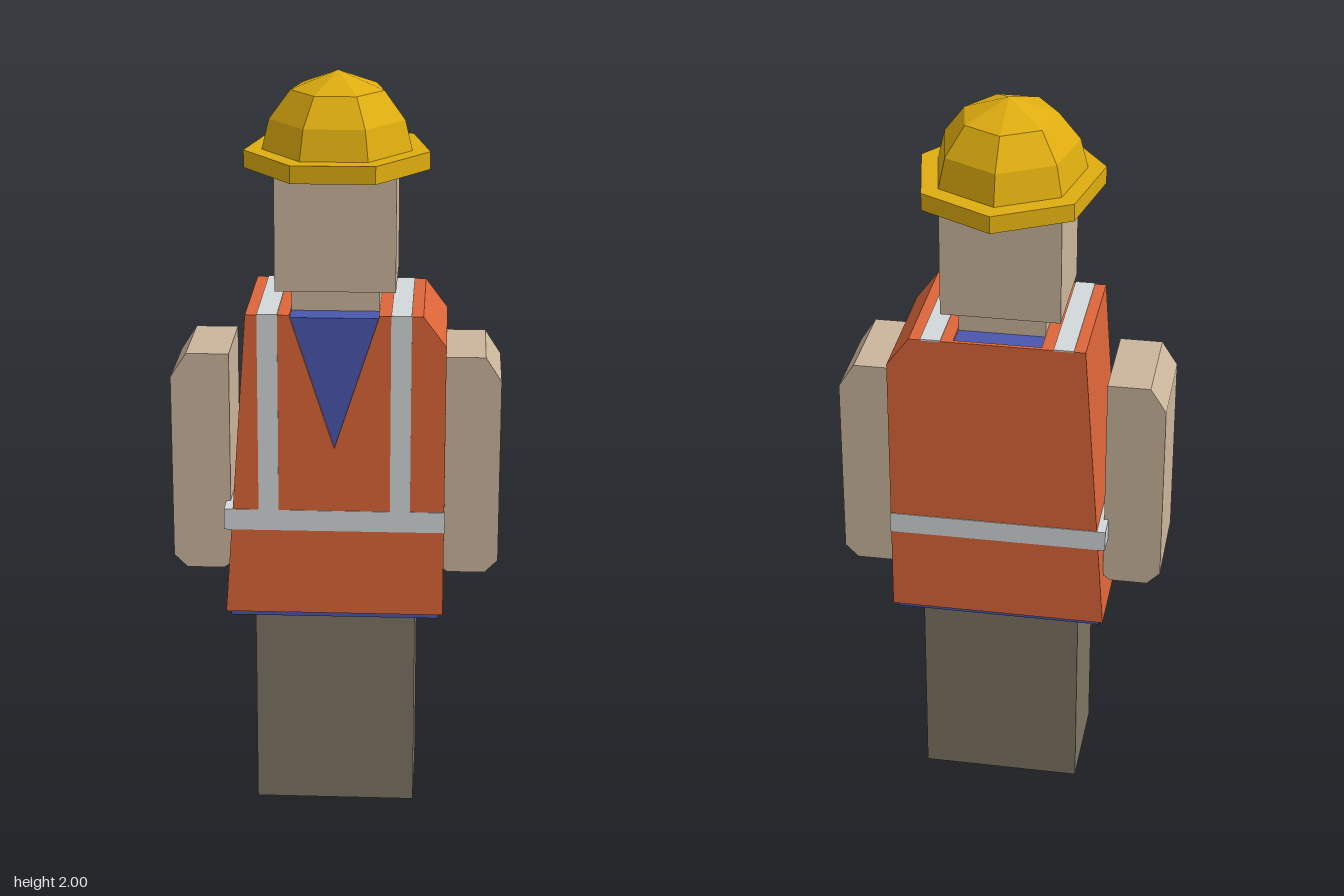
import * as THREE from 'three';

const mat = (name, color) => {
  const m = new THREE.MeshStandardMaterial({ color, flatShading: true });
  m.name = name;
  return m;
};

export function createModel() {
  const orange = mat('vest orange', 0xdd6539);
  const silver = mat('reflective silver', 0xd2d8da);
  const blue = mat('shirt blue', 0x4957ae);
  const skin = mat('skin', 0xcbb59c);
  const brown = mat('trouser brown', 0x7d7362);
  const yellow = mat('helmet yellow', 0xdfad10);

  const model = new THREE.Group();
  model.name = 'worker';

  const add = (name, geometry, material) => {
    const mesh = new THREE.Mesh(geometry, material);
    mesh.name = name;
    model.add(mesh);
    return mesh;
  };
  // Box given by its limits on each axis
  const box = (name, material, [x0, x1], [y0, y1], [z0, z1]) =>
    add(name, new THREE.BoxGeometry(x1 - x0, y1 - y0, z1 - z0)
      .translate((x0 + x1) / 2, (y0 + y1) / 2, (z0 + z1) / 2), material);
  // Front outline extruded from z0 to z1
  const slab = (name, material, points, z0, z1) => {
    const shape = new THREE.Shape(points.map(p => new THREE.Vector2(...p)));
    const g = new THREE.ExtrudeGeometry(shape, { depth: z1 - z0, bevelEnabled: false });
    return add(name, g.translate(0, 0, z0), material);
  };

  // Legs, neck and head
  box('legs', brown, [-0.215, 0.215], [0, 0.57], [-0.13, 0.16]);
  box('neck', skin, [-0.115, 0.115], [1.38, 1.46], [-0.1, 0.13]);
  box('head', skin, [-0.157, 0.157], [1.45, 1.77], [-0.13, 0.16]);

  // Shirt: hem below the vest, collar top and neckline triangle
  box('shirtHem', blue, [-0.278, 0.278], [0.56, 0.6], [-0.173, 0.198]);
  box('shirtCollar', blue, [-0.115, 0.115], [1.36, 1.392], [-0.173, 0.2]);
  slab('shirtFront', blue, [[-0.13, 1.392], [0, 1.0], [0.13, 1.392]], 0.196, 0.202);

  // Vest: closed back, body with a collar recess, front with a V neck
  const vest = (name, neckline, z0, z1) => slab(name, orange, [
    [-0.29, 0.575], [0.29, 0.575], [0.29, 1.32], [0.23, 1.4],
    ...neckline, [-0.23, 1.4]], z0, z1);
  vest('vestBack', [], -0.185, -0.173);
  vest('vestBody', [[0.115, 1.4], [0.115, 1.385], [-0.115, 1.385], [-0.115, 1.4]], -0.173, 0.2);
  vest('vestFront', [[0.117, 1.4], [0, 1.04], [-0.117, 1.4]], 0.2, 0.21);

  // Reflective bands
  box('waistBand', silver, [-0.292, 0.292], [0.81, 0.867], [-0.187, 0.212]);
  for (const [side, s] of [['left', 1], ['right', -1]]) {
    const x = s > 0 ? [0.147, 0.2] : [-0.2, -0.147];
    box(side + 'ChestStrap', silver, x, [0.86, 1.402], [0.208, 0.212]);
    box(side + 'ShoulderStrap', silver, x, [1.398, 1.402], [-0.185, 0.212]);

    // Arm with bevelled corners
    const arm = [[0.28, 0.69], [0.3, 0.675], [0.4, 0.675], [0.435, 0.71],
      [0.435, 1.21], [0.393, 1.275], [0.28, 1.275]];
    slab(side + 'Arm', skin, arm.map(([px, py]) => [s * px, py]), -0.122, 0.146);
  }

  // Seven-sided helmet
  add('helmetBrim', new THREE.CylinderGeometry(1, 1, 0.046, 7, 1, false, Math.PI)
    .scale(0.247, 1, 0.287).translate(0, 1.779, 0.012), yellow);
  const dome = [[1, 1.8], [0.9, 1.88], [0.62, 1.953], [0, 2]]
    .map(([r, y]) => new THREE.Vector2(r, y));
  add('helmetDome', new THREE.LatheGeometry(dome, 7, Math.PI)
    .scale(0.2, 1, 0.2325).translate(0, 0, 0.012), yellow);

  return model;
}
